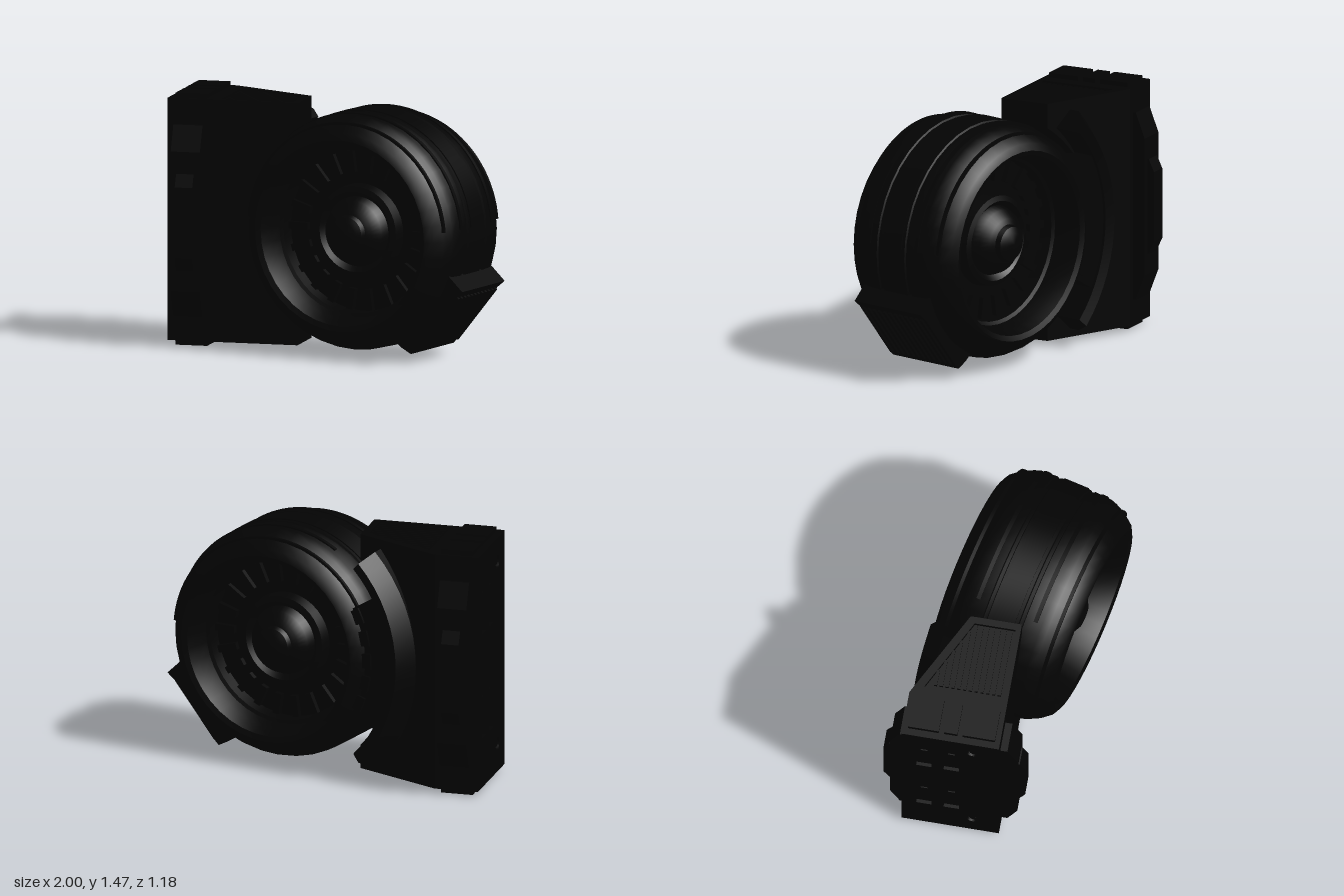
import * as THREE from 'three';
import { toCreasedNormals } from 'three/addons/utils/BufferGeometryUtils.js';

const dark = new THREE.MeshStandardMaterial({ color: 0x030303, side: THREE.DoubleSide });
dark.name = 'matte black';

function part(parent, name, geometry, x = 0, y = 0, z = 0) {
  const mesh = new THREE.Mesh(geometry, dark);
  mesh.name = name;
  mesh.position.set(x, y, z);
  parent.add(mesh);
  return mesh;
}

// box given by its limits on each axis
function block(parent, name, x0, x1, y0, y1, z0, z1) {
  return part(parent, name, new THREE.BoxGeometry(x1 - x0, y1 - y0, z1 - z0),
    (x0 + x1) / 2, (y0 + y1) / 2, (z0 + z1) / 2);
}

const rad = degrees => degrees * Math.PI / 180;
const polygon = pts => new THREE.Shape(pts.map(p => new THREE.Vector2(...p)));
const rectangle = (x0, x1, y0, y1) => polygon([[x0, y0], [x1, y0], [x1, y1], [x0, y1]]);
const extrude = (shape, depth, curveSegments = 24) =>
  new THREE.ExtrudeGeometry(shape, { depth, bevelEnabled: false, curveSegments });

// curved bar around the drum axis, angles in degrees
function arcBand(parent, name, r0, r1, z0, z1, from, to) {
  const shape = new THREE.Shape();
  shape.absarc(0, 0, r1, rad(from), rad(to), false);
  shape.absarc(0, 0, r0, rad(to), rad(from), true);
  return part(parent, name, toCreasedNormals(extrude(shape, z1 - z0), 0.5), 0, 0, z0);
}

function createBracket() {
  const g = new THREE.Group();
  g.name = 'bracket';
  block(g, 'bracketSpine', -0.98, -0.74, 0.03, 1.445, -0.47, 0.1);

  // mounting face with slots and round sockets, each holding a smaller key
  const face = rectangle(-0.47, 0.1, 0.03, 1.445);
  for (const z of [-0.34, -0.18])
    for (const y of [0.47, 1.1]) {
      face.holes.push(rectangle(z - 0.045, z + 0.045, y - 0.14, y + 0.14));
      block(g, 'mountKey', -0.992, -0.97, y - 0.1, y + 0.1, z - 0.02, z + 0.02);
    }
  for (const y of [0.2, 1.3]) {
    face.holes.push(new THREE.Path().absarc(-0.05, y, 0.04, 0, Math.PI * 2, false));
    const bolt = new THREE.CylinderGeometry(0.022, 0.022, 0.02, 16);
    bolt.rotateZ(Math.PI / 2);
    part(g, 'mountBolt', bolt, -0.983, y, -0.05);
  }
  const plate = extrude(face, 0.02, 16);
  plate.rotateY(-Math.PI / 2);
  part(g, 'mountingFace', plate, -0.98, 0, 0);

  // wing with a concave edge for the drum and a slanted back
  const shape = new THREE.Shape();
  shape.moveTo(-0.74, 0.055);
  shape.lineTo(-0.22, 0.055);
  shape.lineTo(-0.22, 0.17);
  const a = Math.atan2(0.565, -0.44);
  shape.absarc(0.22, 0.735, 0.716, -a, a - 2 * Math.PI, true);
  shape.lineTo(-0.22, 1.42);
  shape.lineTo(-0.74, 1.42);
  const wing = extrude(shape, 1, 32), p = wing.attributes.position;
  for (let i = 0; i < p.count; i++) {
    const back = -0.47 + (p.getX(i) + 0.74) * 0.52;
    p.setZ(i, p.getZ(i) > 0.5 ? 0.1 : back);
  }
  wing.computeVertexNormals();
  part(g, 'bracketWing', toCreasedNormals(wing, 0.5));

  // framed louvres closing the wing at the top and bottom
  const frame = polygon([[-0.74, 0.1], [-0.74, -0.47], [-0.22, -0.2], [-0.22, 0.1]]);
  frame.holes.push(polygon([[-0.69, 0.07], [-0.26, 0.07], [-0.26, -0.17], [-0.69, -0.39]]));
  for (const top of [1.445, 0.055]) {
    const cap = extrude(frame, 0.025);
    cap.rotateX(Math.PI / 2);
    part(g, 'louvreFrame', cap, 0, top, 0);
    for (let i = 0; i < 12; i++) {
      const z = 0.045 - i * 0.034;
      const end = Math.min(-0.27, -0.66 + (z + 0.375) * 1.92);
      if (end > -0.62) block(g, 'louvreSlat', -0.67, end, top - 0.024, top - 0.005, z - 0.009, z + 0.009);
    }
  }

  // cap pads standing out above and below the spine
  for (const [z0, z1] of [[-0.12, 0.07], [-0.23, -0.15], [-0.44, -0.26]])
    block(g, 'capPad', -0.96, -0.77, 0, 1.472, z0, z1);

  // stepped side rails with sloping ends, front and back
  const rail = (name, width, y0, y1, ramp, base, lip, out, side) => {
    const geo = extrude(polygon([[base, y0], [lip, y0], [out, y0 + ramp],
      [out, y1 - ramp], [lip, y1], [base, y1]]), width);
    geo.translate(0, 0, -width / 2);
    geo.rotateY(-side * Math.PI / 2);
    part(g, name, geo, -0.865, 0, side > 0 ? 0.1 : -0.47);
  };
  for (const [side, low, high] of [[1, 0.1, 0.14], [-1, 0.077, 0.12]]) {
    rail('sideRail', 0.175, 0.18, 1.298, 0.15, -0.01, low - 0.058, low, side);
    rail('sideGrip', 0.105, 0.455, 1.02, 0.075, low - 0.01, low + 0.008, high, side);
  }
  return g;
}

function createDrum() {
  const g = new THREE.Group();
  g.name = 'fanDrum';
  g.position.set(0.225, 0.735, 0.076);
  g.rotation.y = -0.243;

  // half profile from the middle of the shell over the lip to the hub (radius, height)
  const half = [
    [0.69, 0.09], [0.68, 0.095], [0.68, 0.115], [0.69, 0.12], [0.685, 0.22], [0.672, 0.26],
    [0.645, 0.315], [0.6, 0.372], [0.56, 0.393], [0.53, 0.38], [0.505, 0.3], [0.495, 0.22],
    [0.475, 0.21], [0.47, 0.13], [0.275, 0.13], [0.265, 0.2], [0.235, 0.21], [0.205, 0.18],
    [0.185, 0.23], [0.14, 0.27], [0.11, 0.285], [0.1, 0.315], [0.065, 0.335], [0, 0.34]];
  const profile = [...half.map(([r, y]) => [r, -y]).reverse(), ...half].map(q => new THREE.Vector2(...q));
  const shell = new THREE.LatheGeometry(profile, 40);
  shell.rotateX(Math.PI / 2);
  part(g, 'drumShell', toCreasedNormals(shell, 0.5));

  // radial fan vanes on both faces
  for (const side of [1, -1])
    for (let i = 0; i < 22; i++) {
      const a = i * Math.PI / 11;
      const vane = part(g, 'fanVane', new THREE.BoxGeometry(0.125, 0.042, 0.04),
        0.405 * Math.cos(a), 0.405 * Math.sin(a), side * 0.14);
      vane.rotation.z = a;
    }

  // raised strips over the upper shell
  arcBand(g, 'shellStrip', 0.66, 0.696, -0.07, 0.07, 5, 175);
  for (const side of [1, -1]) {
    arcBand(g, 'shellStrip', 0.66, 0.694, side * 0.18 - 0.012, side * 0.18 + 0.012, 5, 120);
    arcBand(g, 'shellStrip', 0.61, 0.655, side * 0.31 - 0.01, side * 0.31 + 0.01, 5, 175);
  }

  // saddle joining the drum to the bracket
  arcBand(g, 'saddle', 0.6, 0.8, -0.335, -0.1, 150, 210);
  for (let i = 0; i < 5; i++)
    arcBand(g, 'saddleTooth', 0.6, 0.67, -0.35, -0.25, 151 + i * 12, 159 + i * 12);

  // flared saddle rim with closed ends
  const rim = [[0.79, -0.1], [0.79, -0.352], [0.85, -0.368], [0.925, -0.265], [0.925, -0.1], [0.79, -0.1]];
  const flare = new THREE.LatheGeometry(rim.map(q => new THREE.Vector2(...q)), 16, rad(225), rad(90));
  flare.rotateX(Math.PI / 2);
  part(g, 'saddleRim', toCreasedNormals(flare, 0.5));
  for (const angle of [135, 225]) {
    const end = new THREE.ShapeGeometry(polygon(rim.slice(0, 5)));
    end.rotateX(Math.PI / 2);
    end.rotateZ(rad(angle));
    part(g, 'saddleRimEnd', end);
  }

  // ribbed exhaust block low on the outer side
  const vent = new THREE.Group();
  vent.name = 'exhaustBlock';
  vent.rotation.z = rad(-39.4);
  g.add(vent);
  const body = extrude(polygon([[0.5, -0.29], [0.664, -0.29], [0.735, -0.275], [0.74, -0.225],
    [0.74, 0.18], [0.752, 0.24], [0.605, 0.25], [0.5, 0.25]]), 0.5);
  part(vent, 'exhaustBody', body, 0, 0, -0.25);
  for (let i = 0; i < 12; i++) {
    const z = -0.22 + i * 0.04;
    block(vent, 'exhaustRib', 0.73, 0.754, -0.225, 0.18, z - 0.01, z + 0.01);
  }
  return g;
}

export function createModel() {
  const model = new THREE.Group();
  model.name = 'bracketedFanPod';
  model.add(createBracket(), createDrum());
  return model;
}
